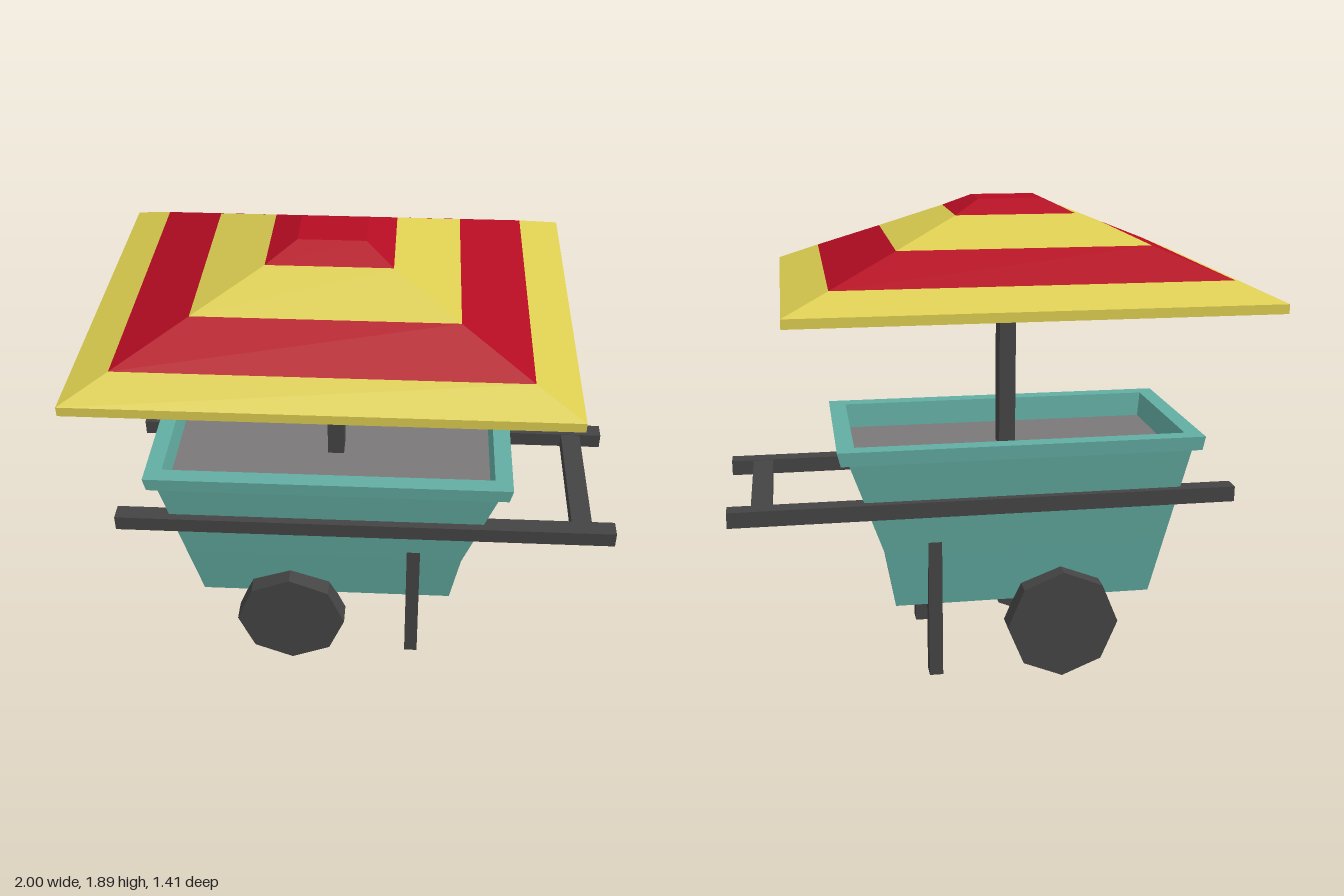
import * as THREE from 'three';

const mat = (name, color, side = THREE.FrontSide) => {
  const m = new THREE.MeshStandardMaterial({ color, side });
  m.name = name;
  return m;
};

// Flat-sided loft through rectangular rings [x0, x1, halfDepth, y]; cap closes the last ring
function loft(rings, cap = false) {
  const pos = [];
  const corners = ([x0, x1, z, y]) => [[x0, y, z], [x1, y, z], [x1, y, -z], [x0, y, -z]];
  const quad = (a, b, c, d) => pos.push(...a, ...b, ...c, ...a, ...c, ...d);
  for (let i = 0; i + 1 < rings.length; i++) {
    const lo = corners(rings[i]), hi = corners(rings[i + 1]);
    for (let k = 0; k < 4; k++) {
      const n = (k + 1) % 4;
      quad(lo[k], lo[n], hi[n], hi[k]);
    }
  }
  if (cap) quad(...corners(rings[rings.length - 1]));
  const g = new THREE.BufferGeometry();
  g.setAttribute('position', new THREE.Float32BufferAttribute(pos, 3));
  g.computeVertexNormals();
  return g;
}

export function createModel() {
  const model = new THREE.Group();
  model.name = 'foodCart';
  const teal = mat('teal paint', 0x62ada2, THREE.DoubleSide);
  const yellow = mat('yellow cloth', 0xdccd50, THREE.DoubleSide);
  const red = mat('red cloth', 0xb50c22, THREE.DoubleSide);
  const dark = mat('dark frame', 0x444444);
  const grey = mat('grey floor', 0x7a7878);

  const add = (name, geometry, material, x = 0, y = 0, z = 0) => {
    const m = new THREE.Mesh(geometry, material);
    m.name = name;
    m.position.set(x, y, z);
    model.add(m);
    return m;
  };
  // Box given by its extents on each axis
  const box = (name, material, [x0, x1], [y0, y1], [z0, z1]) =>
    add(name, new THREE.BoxGeometry(x1 - x0, y1 - y0, z1 - z0), material,
      (x0 + x1) / 2, (y0 + y1) / 2, (z0 + z1) / 2);

  // Tub: tapered walls, open below, kinked at the handle end
  const bodyTop = [-0.80, 0.54, 0.345, 0.945];
  const rimBottom = [-0.83, 0.57, 0.374, 0.945];
  const floor = [-0.765, 0.505, 0.305, 0.9];
  add('tubWalls', loft([[-0.67, 0.365, 0.255, 0.315], [-0.718, 0.405, 0.289, 0.55], bodyTop]), teal);
  add('rimUnderside', loft([bodyTop, rimBottom]), red);
  add('tubRim', loft([rimBottom, [-0.84, 0.583, 0.378, 1], [-0.775, 0.515, 0.313, 1], floor]), teal);
  add('tubFloor', loft([floor], true), grey);

  // Canopy: striped hollow pyramid with a short vertical hem
  const levels = [
    [-1, 0.765, 0.707, 1.54],
    [-1, 0.765, 0.707, 1.575],
    [-0.84, 0.6, 0.585, 1.643],
    [-0.59, 0.35, 0.384, 1.745],
    [-0.345, 0.11, 0.192, 1.845],
    [-0.237, 0.008, 0.09, 1.895],
  ];
  add('canopyHem', loft(levels.slice(0, 3)), yellow);
  add('canopyStripe', loft(levels.slice(2, 4)), red);
  add('canopyUpperBand', loft(levels.slice(3, 5)), yellow);
  add('canopyCap', loft(levels.slice(4, 6), true), red);

  box('canopyPole', dark, [-0.15, -0.085], [0.89, 1.65], [-0.047, 0.047]);

  // Push handle
  box('handleCrossbar', dark, [0.83, 0.91], [0.722, 0.778], [-0.29, 0.29]);

  // Side rails, legs and wheels on both sides
  for (const [side, s] of [['front', 1], ['back', -1]]) {
    const span = (a, b) => (s > 0 ? [a, b] : [-b, -a]);
    box(side + 'Rail', dark, [-0.98, 1], [0.718, 0.78], span(0.283, 0.353));
    box(side + 'Leg', dark, [0.183, 0.237], [0.02, 0.63], span(0.225, 0.295));
    const wheel = new THREE.CylinderGeometry(0.225, 0.225, 0.09, 8).toNonIndexed();
    wheel.computeVertexNormals();
    wheel.rotateX(Math.PI / 2);
    add(side + 'Wheel', wheel, dark, -0.298, 0.225, s * 0.295);
  }
  return model;
}
